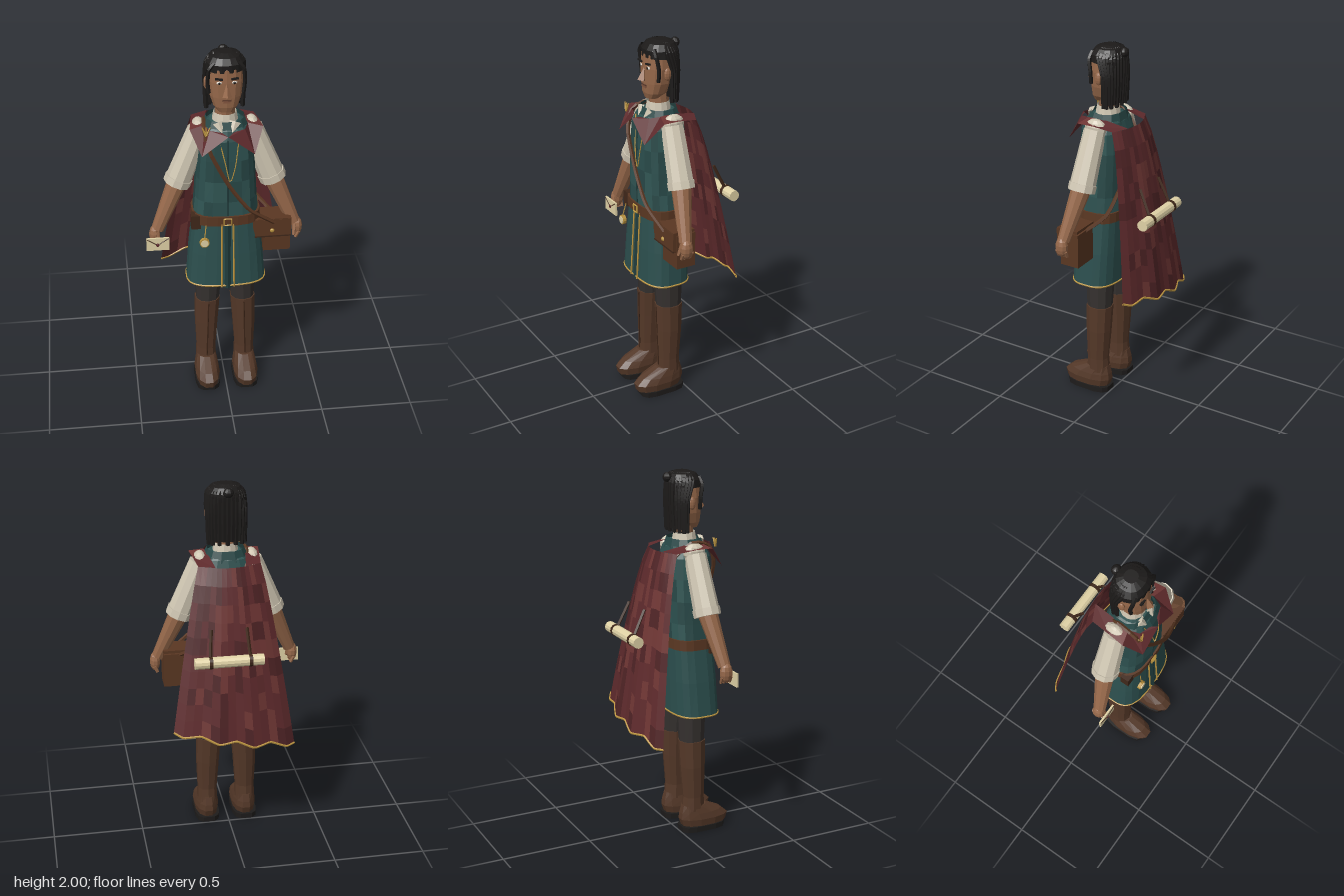
import * as THREE from 'three';

const C = {
  skin: 0x96684a, hair: 0x1c1a19, teal: 0x2c4f4e, teal2: 0x284847, teal3: 0x315654, darkTeal: 0x1f3a3a,
  linen: 0xcfc6b2, boot: 0x543828, sole: 0x1e1c1b, trouser: 0x35312f, leather: 0x5a3722, darkLeather: 0x40281a,
  gold: 0xb8923f, paper: 0xe0d2a6, cape: 0x5e2a2c, cape2: 0x6f3634, cape3: 0x4e2325, dark: 0x15110f,
};
const mats = {};
const mat = (c) => (mats[c] ??= new THREE.MeshStandardMaterial({ color: c, flatShading: true, side: THREE.DoubleSide }));
const V = (x, y, z) => new THREE.Vector3(x, y, z);

function add(parent, name, geo, color, x = 0, y = 0, z = 0) {
  const m = new THREE.Mesh(geo, mat(color));
  m.name = name;
  m.position.set(x, y, z);
  parent.add(m);
  return m;
}
const box = (p, name, w, h, d, color, x, y, z) => add(p, name, new THREE.BoxGeometry(w, h, d), color, x, y, z);

function ball(p, name, rx, ry, rz, color, x, y, z, n = 10) {
  const m = add(p, name, new THREE.SphereGeometry(1, n, 7), color, x, y, z);
  m.scale.set(rx, ry, rz);
  return m;
}

// Tapered round bar from a to b
function limb(p, name, a, b, ra, rb, color, n = 8) {
  const d = b.clone().sub(a);
  const m = add(p, name, new THREE.CylinderGeometry(rb, ra, d.length(), n), color);
  m.position.copy(a).addScaledVector(d, 0.5);
  m.quaternion.setFromUnitVectors(V(0, 1, 0), d.normalize());
  return m;
}

const tube = (p, name, pts, r, color, closed = false) =>
  add(p, name, new THREE.TubeGeometry(new THREE.CatmullRomCurve3(pts, closed, 'catmullrom', 0.3), pts.length * 4, r, 5, closed), color);

// Faceted sheet from f(i, j); the cells are shared out over the given shades
function sheet(p, name, f, nu, nv, colors) {
  const cells = colors.map(() => []);
  let seed = 7;
  const rnd = () => (seed = (seed * 16807) % 2147483647) / 2147483647;
  for (let j = 0; j < nv; j++) for (let i = 0; i < nu; i++) {
    const a = f(i, j), b = f(i + 1, j), c = f(i + 1, j + 1), d = f(i, j + 1);
    const out = cells[Math.floor(rnd() * colors.length)];
    for (const q of [a, d, b, b, d, c]) out.push(q.x, q.y, q.z);
  }
  cells.forEach((pos, k) => {
    if (!pos.length) return;
    const g = new THREE.BufferGeometry();
    g.setAttribute('position', new THREE.Float32BufferAttribute(pos, 3));
    g.computeVertexNormals();
    add(p, name, g, colors[k]);
  });
}

// Point i of n on a rounded-square cross-section [y, rx, rz, cz, cx]
function ring([y, rx, rz, cz = 0, cx = 0], i, n, pow) {
  const a = ((i + 0.5) / n) * Math.PI * 2;
  const e = (t) => Math.sign(t) * Math.abs(t) ** (2 / pow);
  return V(cx + rx * e(Math.cos(a)), y, cz + rz * e(Math.sin(a)));
}
function loft(p, name, secs, n, colors, pow = 2, caps = true) {
  const flat = (s) => [s[0], 0, 0, s[3], s[4]];
  const s = caps ? [flat(secs[0]), ...secs, flat(secs[secs.length - 1])] : secs;
  sheet(p, name, (i, j) => ring(s[j], i % n, n, pow), n, s.length - 1, [].concat(colors));
}

function legs(p) {
  for (const s of [1, -1]) {
    const x = s * 0.108;
    loft(p, 'sole', [[0, 0.07, 0.13, 0.135, x], [0.03, 0.07, 0.132, 0.135, x]], 12, C.sole, 3.5);
    loft(p, 'bootFoot', [[0.03, 0.064, 0.135, 0.15, x], [0.07, 0.07, 0.147, 0.148, x], [0.105, 0.064, 0.125, 0.13, x],
      [0.15, 0.052, 0.07, 0.088, x]], 12, C.boot, 2.3);
    loft(p, 'bootShaft', [[0.12, 0.058, 0.065, 0.083, x], [0.2, 0.055, 0.06, 0.085, x], [0.38, 0.065, 0.07, 0.08, x - s * 0.003],
      [0.53, 0.07, 0.075, 0.078, x - s * 0.01]], 10, C.boot, 2.2);
    loft(p, 'trouserLeg', [[0.5, 0.064, 0.068, 0.078, x - s * 0.01], [0.72, 0.076, 0.08, 0.078, s * 0.09],
      [0.95, 0.085, 0.085, 0.08, s * 0.085]], 10, C.trouser, 2.2);
    // Boot seam
    limb(p, 'bootSeam', V(x, 0.16, 0.146), V(x - s * 0.01, 0.52, 0.155), 0.004, 0.004, C.darkLeather, 5);
  }
}

function tunic(p) {
  const teals = [C.teal, C.teal2, C.teal3];
  const hem = [0.69, 0.213, 0.13, 0.1];
  loft(p, 'skirt', [hem, [0.88, 0.198, 0.128, 0.093], [1.08, 0.176, 0.122, 0.086]], 20, [C.teal, C.teal], 3, false);
  tube(p, 'hemTrim', Array.from({ length: 20 }, (_, i) => ring(hem, i, 20, 3)), 0.005, C.gold, true);
  limb(p, 'frontPleat', V(0, 0.675, 0.212), V(0, 1.07, 0.19), 0.028, 0.028, C.darkTeal, 6);
  for (const s of [1, -1])
    limb(p, 'pleatTrim', V(s * 0.033, 0.685, 0.235), V(s * 0.03, 1.07, 0.212), 0.005, 0.005, C.gold, 5);
  loft(p, 'torso', [[1.08, 0.176, 0.122, 0.085], [1.2, 0.165, 0.124, 0.085], [1.32, 0.158, 0.125, 0.084], [1.44, 0.15, 0.125, 0.083],
    [1.55, 0.142, 0.118, 0.082], [1.6, 0.12, 0.1, 0.08], [1.63, 0.08, 0.075, 0.078]], 18, teals, 2.8);
  tube(p, 'frontSeam', [V(0, 1.12, 0.21), V(0, 1.35, 0.212), V(0, 1.56, 0.2)], 0.004, C.darkTeal);
  tube(p, 'chain', [V(-0.05, 1.6, 0.185), V(-0.01, 1.42, 0.213), V(0.012, 1.32, 0.214), V(0.04, 1.42, 0.213), V(0.06, 1.58, 0.195)], 0.003, C.gold);

  // Collars
  loft(p, 'tunicCollar', [[1.585, 0.125, 0.105, 0.08], [1.645, 0.1, 0.085, 0.077]], 12, C.teal2, 2.4, false);
  loft(p, 'shirtCollar', [[1.61, 0.072, 0.07, 0.08], [1.675, 0.06, 0.058, 0.08]], 12, C.linen, 2, false);
  for (const s of [1, -1]) {
    const c = add(p, 'collarPoint', new THREE.ConeGeometry(0.03, 0.06, 4), C.linen, s * 0.035, 1.62, 0.17);
    c.scale.z = 0.4;
    c.rotation.set(2.6, 0, s * 0.3);
  }

  // Belt
  loft(p, 'belt', [[1.06, 0.184, 0.13, 0.086], [1.115, 0.182, 0.13, 0.086]], 20, C.leather, 3);
  add(p, 'buckle', new THREE.TorusGeometry(0.027, 0.005, 4, 4), C.gold, 0, 1.088, 0.222).rotation.z = Math.PI / 4;
  box(p, 'beltPouch', 0.05, 0.08, 0.05, C.darkLeather, -0.165, 1.075, 0.165);
  limb(p, 'medallionCord', V(-0.115, 1.07, 0.216), V(-0.125, 0.99, 0.235), 0.003, 0.003, C.gold, 5);
  limb(p, 'medallion', V(-0.125, 0.975, 0.222), V(-0.125, 0.975, 0.24), 0.026, 0.026, C.gold, 12);
  limb(p, 'medallionFace', V(-0.125, 0.975, 0.24), V(-0.125, 0.975, 0.244), 0.02, 0.02, C.paper, 12);
}

function arms(p) {
  for (const s of [1, -1]) {
    const shoulder = V(s * 0.135, 1.57, 0.075), elbow = V(s * 0.252, 1.275, 0.087), wrist = V(s * 0.365, 1.015, 0.13);
    ball(p, 'shoulder', 0.037, 0.05, 0.062, C.linen, s * 0.138, 1.583, 0.07);
    limb(p, 'sleeve', shoulder, elbow, 0.06, 0.07, C.linen, 10);
    limb(p, 'sleeveCuff', elbow.clone().lerp(shoulder, 0.1), elbow.clone().lerp(shoulder, -0.03), 0.074, 0.073, C.linen, 10);
    limb(p, 'forearm', elbow.clone().lerp(shoulder, 0.1), wrist, 0.055, 0.034, C.skin, 10);
    ball(p, 'palm', 0.029, 0.055, 0.036, C.skin, s * 0.382, 0.985, 0.132);
    limb(p, 'thumb', V(s * 0.368, 1.01, 0.15), V(s * 0.36, 0.95, 0.168), 0.013, 0.009, C.skin, 6);
    for (let i = 0; i < 4; i++)
      limb(p, 'finger', V(s * 0.388, 0.965, 0.106 + i * 0.017), V(s * 0.372, 0.93, 0.106 + i * 0.017), 0.011, 0.009, C.skin, 6);
  }
  // Letter held in the right hand
  box(p, 'envelope', 0.122, 0.075, 0.01, C.paper, -0.368, 0.948, 0.175);
  tube(p, 'envelopeFlap', [V(-0.428, 0.983, 0.181), V(-0.37, 0.945, 0.181), V(-0.368, 0.945, 0.181), V(-0.31, 0.983, 0.181)], 0.0025, C.darkLeather);
  ball(p, 'seal', 0.01, 0.01, 0.004, C.cape, -0.369, 0.945, 0.182);
}

function head(p) {
  limb(p, 'neck', V(0, 1.6, 0.07), V(0, 1.75, 0.08), 0.054, 0.05, C.skin, 10);
  loft(p, 'face', [[1.695, 0.04, 0.036, 0.115], [1.725, 0.065, 0.06, 0.1], [1.78, 0.083, 0.075, 0.088], [1.86, 0.092, 0.08, 0.083],
    [1.93, 0.088, 0.08, 0.08], [1.975, 0.06, 0.055, 0.075]], 14, C.skin, 2.4);
  // Nose, mouth, eyes, brows and ears
  const nose = add(p, 'nose', new THREE.ConeGeometry(0.024, 0.075, 4), C.skin, 0, 1.83, 0.168);
  nose.rotation.x = -0.25;
  box(p, 'mouth', 0.044, 0.006, 0.01, 0x5b3a2c, 0, 1.768, 0.16);
  box(p, 'lowerLip', 0.036, 0.01, 0.01, 0x84563f, 0, 1.758, 0.159);
  for (const s of [1, -1]) {
    ball(p, 'eye', 0.015, 0.008, 0.008, 0xd8d0c4, s * 0.038, 1.865, 0.157, 8);
    ball(p, 'iris', 0.006, 0.007, 0.004, C.dark, s * 0.038, 1.865, 0.164, 8);
    box(p, 'brow', 0.038, 0.008, 0.012, C.hair, s * 0.04, 1.887, 0.161).rotation.z = s * 0.12;
    ball(p, 'ear', 0.013, 0.034, 0.021, C.skin, s * 0.097, 1.835, 0.078, 8);
    tube(p, 'frontLock', [V(s * 0.06, 1.965, 0.135), V(s * 0.088, 1.93, 0.138), V(s * 0.094, 1.86, 0.128), V(s * 0.088, 1.8, 0.128)], 0.011, C.hair);
  }
  // Hair cap, hanging locks and top knot
  loft(p, 'hairCap', [[1.915, 0.101, 0.088, 0.072], [1.955, 0.098, 0.088, 0.072], [1.985, 0.075, 0.07, 0.068], [1.998, 0.035, 0.035, 0.065]], 16, C.hair, 2.3);
  loft(p, 'backHair', [[1.7, 0.085, 0.034, 0.025], [1.8, 0.096, 0.045, 0.03], [1.93, 0.1, 0.055, 0.04]], 12, C.hair, 2.3);
  for (let i = 0; i <= 16; i++) {
    const a = Math.PI * (0.92 + (1.16 * i) / 16), c = Math.cos(a), s = Math.sin(a);
    tube(p, 'hairLock', [V(c * 0.05, 1.985, 0.065 + s * 0.045), V(c * 0.092, 1.95, 0.065 + s * 0.075),
      V(c * 0.1, 1.85, 0.04 + s * 0.052), V(c * 0.096, 1.68 + 0.02 * (i % 2), 0.04 + s * 0.042)], 0.012, C.hair);
  }
  ball(p, 'topKnot', 0.028, 0.026, 0.024, C.hair, 0, 1.967, -0.02);
}

function cloak(p) {
  const reds = [C.cape, C.cape2, C.cape3, C.cape];
  const nu = 14, nv = 10;
  const cape = (i, j) => {
    const u = (i / nu) * 2 - 1, v = j / nv;
    const bottom = 0.655 + 0.06 * u + 0.012 * Math.cos(u * 11);
    return V(u * (0.165 + 0.165 * v ** 0.85), 1.59 + (bottom - 1.59) * v,
      -0.1 - 0.185 * v ** 0.75 + (0.055 + 0.02 * v) * u * u + 0.008 * v * Math.cos(u * 11));
  };
  sheet(p, 'cape', cape, nu, nv, reds);
  tube(p, 'capeTrim', Array.from({ length: nu + 1 }, (_, i) => cape(i, nv)), 0.006, C.gold);
  // Shoulder bands with a pointed flap at the front: [outer, inner] pairs
  for (const s of [1, -1]) {
    const rows = [
      [V(s * 0.165, 1.59, -0.05), V(s * 0.08, 1.592, -0.09)],
      [V(s * 0.178, 1.605, 0.06), V(s * 0.1, 1.622, 0.05)],
      [V(s * 0.188, 1.608, 0.15), V(s * 0.11, 1.622, 0.13)],
      [V(s * 0.135, 1.495, 0.238), V(s * 0.09, 1.615, 0.185)],
      [V(0, 1.6, 0.236), V(s * 0.03, 1.61, 0.205)],
    ];
    sheet(p, 'mantle', (i, j) => rows[j][i], 1, 4, [C.cape, C.cape2]);
  }
  for (const a of [-0.5, 0, 0.5])
    limb(p, 'cloakPin', V(-0.11, 1.6, 0.21), V(-0.11 + a * 0.04, 1.645, 0.205), 0.007, 0.003, C.gold, 5);

  // Rolled scroll strapped to the back
  limb(p, 'scroll', V(-0.145, 1.135, -0.26), V(0.22, 1.135, -0.26), 0.03, 0.03, C.paper, 12);
  for (const x of [-0.075, 0.135]) {
    limb(p, 'scrollBand', V(x - 0.009, 1.135, -0.26), V(x + 0.009, 1.135, -0.26), 0.033, 0.033, C.darkLeather, 12);
    limb(p, 'scrollStrap', V(x, 1.15, -0.255), V(x * 0.9, 1.29, -0.188), 0.009, 0.009, C.darkLeather, 4);
  }
}

function satchel(p) {
  tube(p, 'satchelStrap', [V(0.25, 1.05, 0.19), V(0.115, 1.155, 0.222), V(0.005, 1.31, 0.222), V(-0.09, 1.5, 0.212), V(-0.115, 1.605, 0.17),
    V(-0.11, 1.63, 0.07), V(-0.08, 1.52, -0.045), V(0.05, 1.3, -0.05), V(0.17, 1.12, -0.015), V(0.27, 1.03, 0.08)], 0.011, C.leather);
  box(p, 'satchelBody', 0.145, 0.19, 0.11, C.leather, 0.27, 0.955, 0.112);
  box(p, 'satchelFlap', 0.205, 0.105, 0.018, C.leather, 0.24, 1.012, 0.18);
  box(p, 'satchelLid', 0.205, 0.015, 0.125, C.leather, 0.24, 1.062, 0.125);
  box(p, 'flapEdge', 0.205, 0.008, 0.022, C.darkLeather, 0.24, 0.963, 0.18);
  ball(p, 'clasp', 0.012, 0.012, 0.008, C.gold, 0.24, 1.0, 0.192, 8);
}

export function createModel() {
  const root = new THREE.Group();
  root.name = 'cloakedTraveller';
  for (const part of [legs, tunic, arms, head, cloak, satchel]) {
    const g = new THREE.Group();
    g.name = part.name;
    g.position.x = 0.006;
    part(g);
    root.add(g);
  }
  return root;
}
